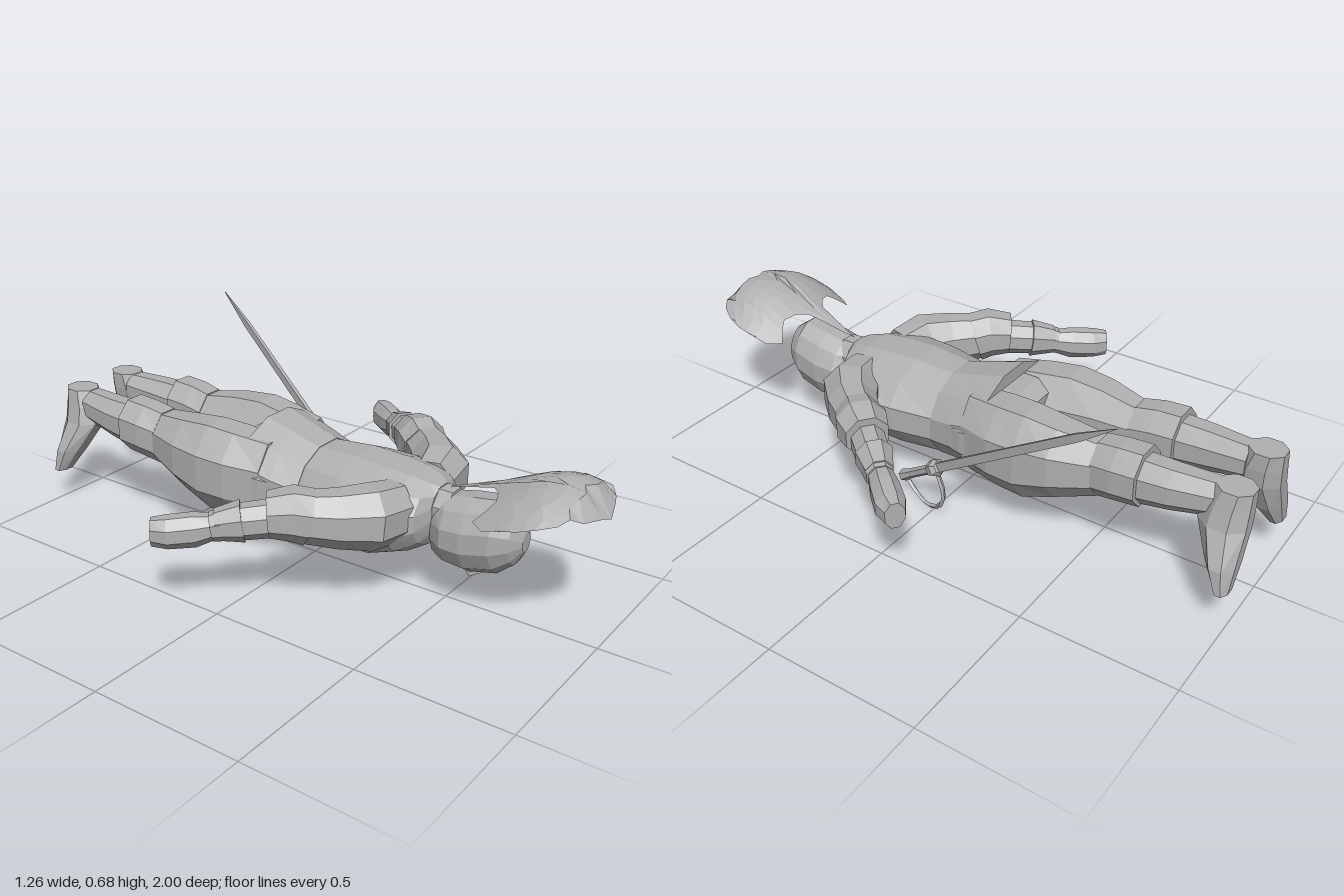
import * as THREE from 'three';

const grey = new THREE.MeshStandardMaterial({ color: 0xb0b0b0, flatShading: true });
grey.name = 'plain grey';
const greySheet = new THREE.MeshStandardMaterial({ color: 0xb0b0b0, flatShading: true, side: THREE.DoubleSide });
greySheet.name = 'plain grey sheet';

// Closed tube through rings [x, y, z, halfWidth, halfHeight]; dir fixes the ring plane
function loft(rings, sides = 8, dir = null, up = new THREE.Vector3(0, 1, 0)) {
  const pos = [], idx = [];
  const centres = rings.map(r => new THREE.Vector3(r[0], r[1], r[2]));
  const k = 1 / Math.cos(Math.PI / sides), last = rings.length - 1;
  rings.forEach((r, i) => {
    const t = dir ? dir.clone() : centres[Math.min(i + 1, last)].clone().sub(centres[Math.max(i - 1, 0)]);
    t.normalize();
    const side = t.clone().cross(up).normalize(), n = side.clone().cross(t);
    for (let j = 0; j < sides; j++) {
      const a = (j + 0.5) / sides * Math.PI * 2;
      const p = centres[i].clone().addScaledVector(side, Math.cos(a) * r[3] * k).addScaledVector(n, Math.sin(a) * r[4] * k);
      pos.push(p.x, p.y, p.z);
    }
  });
  for (let i = 0; i < last; i++) for (let j = 0; j < sides; j++) {
    const a = i * sides + j, b = i * sides + (j + 1) % sides;
    idx.push(a, a + sides, b, b, a + sides, b + sides);
  }
  for (let j = 1; j < sides - 1; j++) {
    const e = last * sides;
    idx.push(0, j, j + 1, e, e + j + 1, e + j);
  }
  return finish(pos, idx);
}

function finish(pos, idx) {
  const g = new THREE.BufferGeometry();
  g.setAttribute('position', new THREE.Float32BufferAttribute(pos, 3));
  g.setIndex(idx);
  const flat = g.toNonIndexed();
  flat.computeVertexNormals();
  return flat;
}

// Fan-shaped plume: columns across x, each running from rear to front edge
function plumeGeometry() {
  const half = [[0, 0.49, 1], [0.035, 0.66, 0.99], [0.07, 0.69, 0.98], [0.11, 0.705, 0.965],
    [0.14, 0.69, 0.94], [0.17, 0.665, 0.92], [0.2, 0.71, 0.87], [0.21, 0.78, 0.82]];
  const cols = [...half.slice(1).reverse().map(c => [-c[0], c[1], c[2]]), ...half];
  const ridge = [[0.49, 0.375], [0.67, 0.435], [0.78, 0.485], [0.86, 0.505], [0.94, 0.49], [1, 0.415]];
  const height = z => {
    let i = 0;
    while (i < ridge.length - 2 && z > ridge[i + 1][0]) i++;
    const [a, b] = [ridge[i], ridge[i + 1]];
    return a[1] + (b[1] - a[1]) * (z - a[0]) / (b[0] - a[0]);
  };
  const pos = [], idx = [], n = 6;
  cols.forEach(([x, z0, z1], c) => {
    for (let i = 0; i <= n; i++) {
      const z = z0 + (z1 - z0) * i / n;
      pos.push(x, height(z) - 2 * x * x, z);
      if (c < cols.length - 1 && i < n) {
        const a = c * (n + 1) + i, b = a + n + 1;
        idx.push(a, a + 1, b, b, a + 1, b + 1);
      }
    }
  });
  return finish(pos, idx);
}

export function createModel() {
  const model = new THREE.Group();
  model.name = 'lyingFigure';
  const add = (name, geometry, material = grey) => {
    const m = new THREE.Mesh(geometry, material);
    m.name = name;
    model.add(m);
  };
  const back = new THREE.Vector3(0, 0, -1), down = new THREE.Vector3(0, -1, 0);

  // Head, face down, with a small nose
  add('head', loft([
    [0, 0.27, 0.755, 0.025, 0.03], [0, 0.275, 0.73, 0.065, 0.08], [0, 0.272, 0.68, 0.095, 0.118],
    [0, 0.255, 0.59, 0.105, 0.122], [0, 0.25, 0.52, 0.098, 0.112], [0, 0.25, 0.47, 0.065, 0.1],
  ], 12, back));
  add('nose', loft([[0, 0.15, 0.64, 0.006, 0.01], [0, 0.14, 0.585, 0.02, 0.03], [0, 0.155, 0.565, 0.018, 0.015]], 4, back));
  add('neck', loft([[0, 0.295, 0.52, 0.06, 0.075], [0, 0.295, 0.4, 0.07, 0.08]], 8, back));
  add('plume', plumeGeometry(), greySheet);

  // Torso from collar to waist, jacket skirt, pelvis
  add('torso', loft([
    [0, 0.3, 0.475, 0.07, 0.075], [0, 0.285, 0.45, 0.13, 0.1], [0, 0.275, 0.39, 0.185, 0.125],
    [0, 0.265, 0.31, 0.21, 0.143], [0, 0.262, 0.19, 0.198, 0.152], [0, 0.26, 0.05, 0.17, 0.145],
  ], 12, back));
  add('jacketSkirt', loft([
    [0, 0.26, 0.05, 0.172, 0.147], [0, 0.278, -0.04, 0.19, 0.155], [0, 0.31, -0.15, 0.205, 0.155],
  ], 12, back));
  add('pelvis', loft([
    [0, 0.265, 0.04, 0.168, 0.142], [0, 0.275, -0.08, 0.2, 0.148], [0, 0.284, -0.2, 0.21, 0.138], [0, 0.29, -0.25, 0.17, 0.1],
  ], 12, back));

  for (const s of [1, -1]) {
    const side = s > 0 ? 'left' : 'right';
    const limb = (name, rings, sides, dir, up) =>
      add(side + name, loft(rings.map(r => [r[0] * s, ...r.slice(1)]), sides, dir, up));

    // Legs with knee cuffs, feet with toes pointing down
    limb('Thigh', [
      [0.105, 0.28, -0.08, 0.09, 0.135], [0.12, 0.287, -0.2, 0.112, 0.143], [0.132, 0.293, -0.3, 0.11, 0.146],
      [0.132, 0.31, -0.41, 0.1, 0.12], [0.115, 0.322, -0.54, 0.075, 0.09],
    ], 8, back);
    limb('KneeCuff', [[0.115, 0.325, -0.53, 0.076, 0.092], [0.12, 0.338, -0.6, 0.082, 0.092], [0.12, 0.345, -0.68, 0.083, 0.09]], 8, back);
    limb('Calf', [[0.12, 0.337, -0.67, 0.066, 0.076], [0.118, 0.345, -0.77, 0.062, 0.068], [0.108, 0.357, -0.9, 0.052, 0.056]], 8, back);
    limb('Foot', [
      [0.11, 0.415, -0.945, 0.05, 0.055], [0.115, 0.36, -0.933, 0.056, 0.067], [0.125, 0.3, -0.928, 0.06, 0.072],
      [0.17, 0.2, -0.955, 0.06, 0.045], [0.2, 0.125, -0.975, 0.038, 0.022],
    ], 8, down, new THREE.Vector3(0, 0, 1));

    // Arms with elbow cuffs, sleeves and hands
    limb('UpperArm', [
      [0.1, 0.3, 0.37, 0.075, 0.09], [0.2, 0.31, 0.345, 0.09, 0.095],
      [0.27, 0.315, 0.28, 0.078, 0.085], [0.36, 0.325, 0.17, 0.062, 0.07],
    ]);
    limb('ElbowCuff', [[0.32, 0.32, 0.215, 0.072, 0.08], [0.355, 0.335, 0.175, 0.078, 0.077], [0.395, 0.33, 0.12, 0.066, 0.065]]);
    limb('Forearm', [[0.37, 0.32, 0.15, 0.052, 0.055], [0.44, 0.31, 0.065, 0.05, 0.052], [0.5, 0.295, -0.01, 0.04, 0.042]]);
    limb('WristCuff', [[0.44, 0.31, 0.06, 0.056, 0.06], [0.49, 0.3, 0, 0.042, 0.045]]);
    limb('Hand', [
      [0.48, 0.298, 0.01, 0.034, 0.034], [0.53, 0.285, -0.05, 0.043, 0.05],
      [0.58, 0.28, -0.11, 0.045, 0.048], [0.608, 0.28, -0.148, 0.03, 0.042],
    ]);
  }

  // Sword at the left hip: grip, guard, blade and knuckle bow
  const pommel = new THREE.Vector3(0.2, 0.065, 0.14), tip = new THREE.Vector3(0.415, 0.68, -0.72);
  const along = (t, w, h) => [...pommel.clone().lerp(tip, t).toArray(), w, h];
  add('swordGrip', loft([along(0, 0.018, 0.018), along(0.04, 0.013, 0.014), along(0.18, 0.012, 0.014)], 6));
  add('swordGuard', loft([along(0.165, 0.024, 0.022), along(0.19, 0.028, 0.026), along(0.205, 0.018, 0.018)], 6));
  add('swordBlade', loft([along(0.19, 0.008, 0.015), along(0.85, 0.006, 0.012), along(1, 0.001, 0.001)], 4));
  const bow = new THREE.CatmullRomCurve3([
    [0.2, 0.065, 0.13], [0.21, 0.028, 0.085], [0.225, 0.01, 0.03], [0.24, 0.035, -0.03], [0.25, 0.1, -0.055], [0.24, 0.175, -0.02],
  ].map(p => new THREE.Vector3(...p)));
  add('knuckleBow', new THREE.TubeGeometry(bow, 10, 0.008, 4));
  return model;
}
